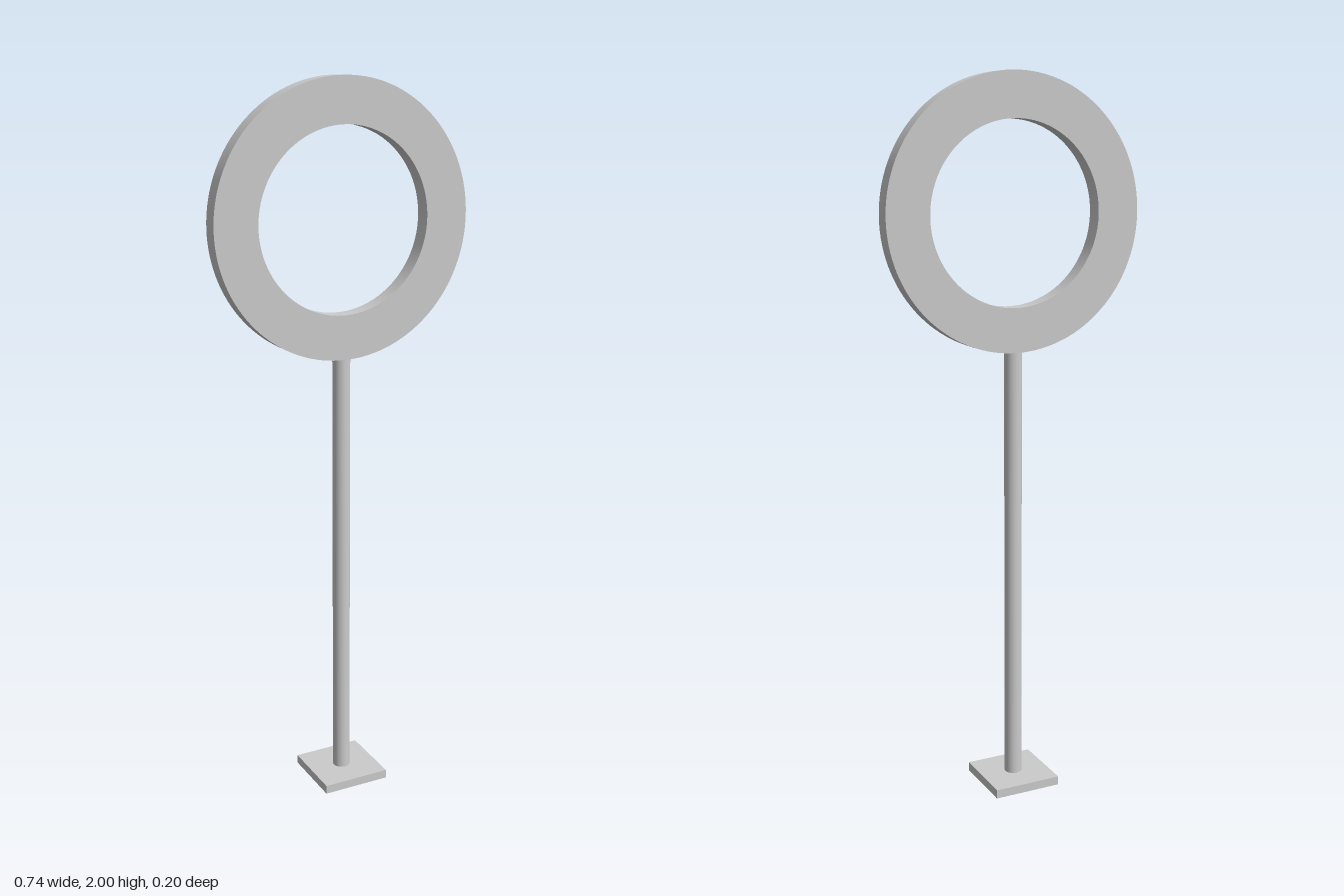
import * as THREE from 'three';
import { toCreasedNormals } from 'three/addons/utils/BufferGeometryUtils.js';

const BASE_SIZE = 0.196, BASE_HEIGHT = 0.025;
const POLE_RADIUS = 0.0245;
const RING_OUTER = 0.37, RING_INNER = 0.248, RING_DEPTH = 0.049;
const RING_Y = 2 - RING_OUTER;

export function createModel() {
  const group = new THREE.Group();
  const material = new THREE.MeshStandardMaterial({ color: 0xcccccc });

  function add(name, geometry, y) {
    const mesh = new THREE.Mesh(geometry, material);
    mesh.name = name;
    mesh.position.y = y;
    group.add(mesh);
  }

  // Square foot plate
  add('basePlate', new THREE.BoxGeometry(BASE_SIZE, BASE_HEIGHT, BASE_SIZE), BASE_HEIGHT / 2);

  // Round pole, its top sunk slightly into the ring
  const poleTop = RING_Y - RING_OUTER + 0.01;
  const poleLength = poleTop - BASE_HEIGHT;
  add('pole', new THREE.CylinderGeometry(POLE_RADIUS, POLE_RADIUS, poleLength, 32),
    BASE_HEIGHT + poleLength / 2);

  // Flat ring with a round opening
  const outline = new THREE.Shape().absarc(0, 0, RING_OUTER, 0, Math.PI * 2, false);
  outline.holes.push(new THREE.Path().absarc(0, 0, RING_INNER, 0, Math.PI * 2, true));
  const ring = new THREE.ExtrudeGeometry(outline, {
    depth: RING_DEPTH, bevelEnabled: false, curveSegments: 64,
  });
  ring.translate(0, 0, -RING_DEPTH / 2);
  add('ring', toCreasedNormals(ring, Math.PI / 6), RING_Y);

  return group;
}
